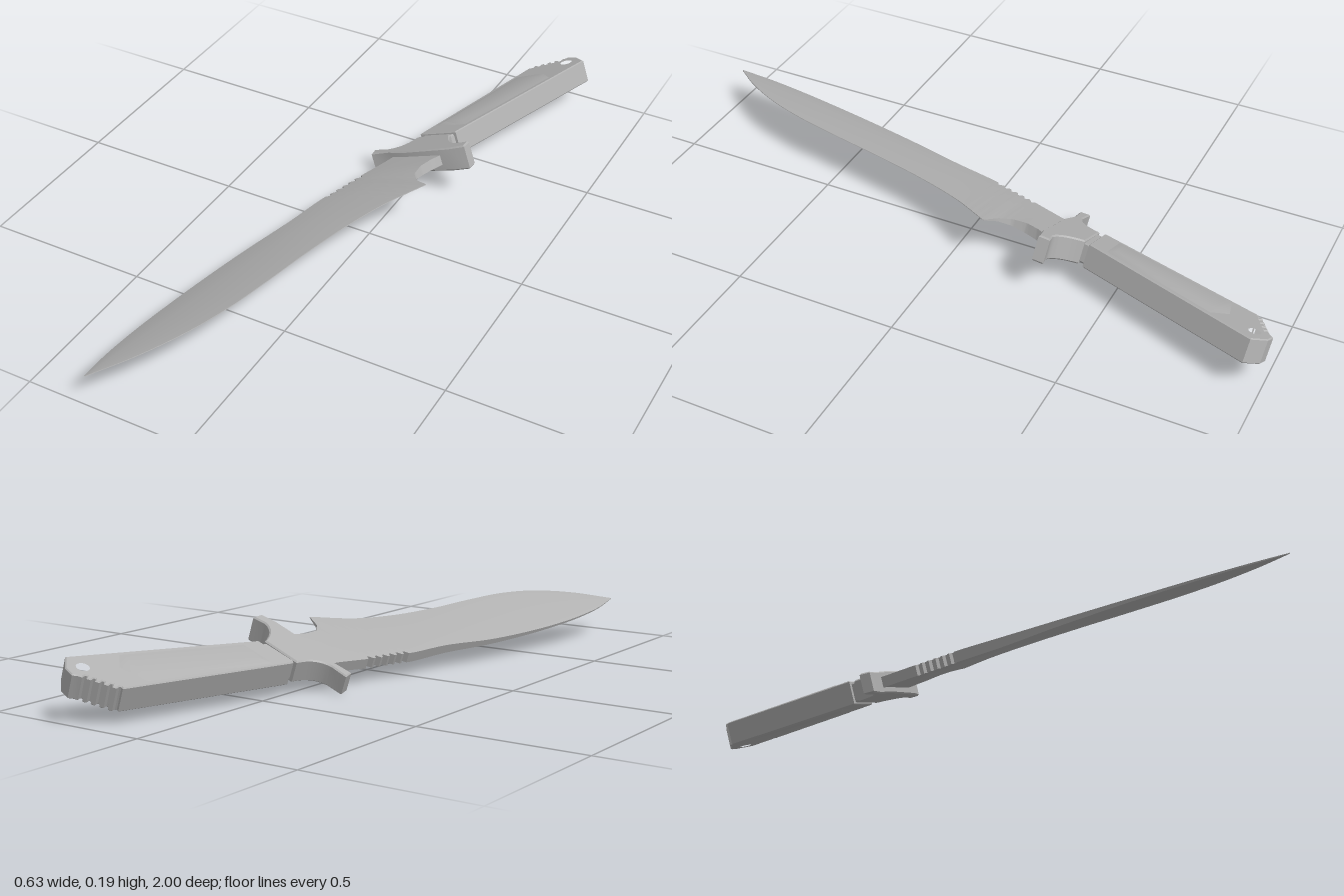
import * as THREE from 'three';
import { toCreasedNormals } from 'three/addons/utils/BufferGeometryUtils.js';

// The knife rests tilted: plan coordinates (x, z) lie on the plane y = 0.12 + 0.4x + 0.11z.
const down = new THREE.Vector3(0.4, -1, 0.11).normalize();
const tilt = new THREE.Matrix4().makeBasis(
  new THREE.Vector3(1, 0.4, 0), new THREE.Vector3(0, 0.11, 1), down).setPosition(0, 0.12, 0);

const steel = new THREE.MeshStandardMaterial({ color: 0xb0b0b0 });
steel.name = 'grey steel';

function part(name, geometry) {
  geometry.applyMatrix4(tilt);
  const mesh = new THREE.Mesh(toCreasedNormals(geometry, 0.45), steel);
  mesh.name = name;
  return mesh;
}

// Slab of the given half thickness, with a bevel kept inside its outline
function slab(shape, half, bevel = 0.004, bevelHeight = bevel) {
  const g = new THREE.ExtrudeGeometry(shape, {
    depth: 2 * (half - bevelHeight), bevelEnabled: true, bevelSegments: 1, curveSegments: 12,
    bevelSize: bevel, bevelOffset: -bevel, bevelThickness: bevelHeight,
  });
  return g.translate(0, 0, bevelHeight - half);
}

const polygon = (pts) => new THREE.Shape(pts.map(([x, z]) => new THREE.Vector2(x, z)));

function bladeGeometry() {
  // z, spine x, edge x, half thickness at spine, middle and edge
  const rows = [
    [-0.30, -0.062, 0.110, 0.016, 0.017, 0.016],
    [-0.25, -0.076, 0.082, 0.016, 0.017, 0.016],
    [-0.21, -0.090, 0.068, 0.016, 0.017, 0.015],
    [-0.165, -0.106, 0.068, 0.016, 0.017, 0.010],
    [-0.13, -0.118, 0.090, 0.016, 0.016, 0.005],
    [-0.105, -0.126, 0.135, 0.016, 0.016, 0.001],
    [-0.05, -0.142, 0.100, 0.016, 0.016, 0.001],
    [0.00, -0.157, 0.070, 0.016, 0.016, 0.001],
    [0.14, -0.185, 0.016, 0.014, 0.016, 0.001],
    [0.32, -0.236, -0.028, 0.009, 0.015, 0.001],
    [0.49, -0.272, -0.058, 0.006, 0.014, 0.001],
    [0.64, -0.296, -0.090, 0.004, 0.013, 0.001],
    [0.77, -0.310, -0.138, 0.003, 0.011, 0.001],
    [0.90, -0.314, -0.217, 0.002, 0.007, 0.001],
    [1.00, -0.306, -0.304, 0.001, 0.001, 0.001],
  ];
  const zs = rows.map((r) => r[0]);
  const values = rows.flatMap((r) => r.slice(1));
  const straight = new THREE.LinearInterpolant(zs, values, 5);
  const curved = new THREE.CubicInterpolant(zs, values, 5);
  const steps = 208, pos = [], index = [];
  for (let i = 0; i <= steps; i++) {
    const z = -0.3 + 1.3 * i / steps;
    let [xl, xr, ts, tm, te] = (z < 0 ? straight : curved).evaluate(z);
    // Saw teeth along the back of the blade
    if (i >= 24 && i < 48 && i % 4 < 2) xl += 0.011;
    ts = Math.max(ts, 0.0008);
    te = Math.max(te, 0.0008);
    const xm = xl + (xr - xl) * 0.4;
    pos.push(xl, z, ts, xm, z, tm, xr, z, te, xr, z, -te, xm, z, -tm, xl, z, -ts);
    if (i === steps) continue;
    for (let j = 0; j < 6; j++) {
      const a = i * 6 + j, b = i * 6 + (j + 1) % 6;
      index.push(a, b, b + 6, a, b + 6, a + 6);
    }
  }
  const g = new THREE.BufferGeometry();
  g.setAttribute('position', new THREE.Float32BufferAttribute(pos, 3));
  g.setIndex(index);
  g.computeVertexNormals();
  return g;
}

function guardGeometry() {
  const s = new THREE.Shape();
  s.moveTo(-0.142, -0.318);
  s.lineTo(-0.138, -0.287);
  s.lineTo(-0.08, -0.292);
  s.lineTo(-0.03, -0.28);
  s.lineTo(0.13, -0.28);
  s.lineTo(0.18, -0.29);
  s.lineTo(0.18, -0.325);
  s.lineTo(0.145, -0.318);
  s.quadraticCurveTo(0.105, -0.325, 0.085, -0.393);
  s.lineTo(-0.028, -0.393);
  s.quadraticCurveTo(-0.04, -0.325, -0.09, -0.315);
  s.closePath();
  const g = slab(s, 0.035);
  // The guard grows thicker towards its front end
  const p = g.attributes.position;
  for (let i = 0; i < p.count; i++) p.setZ(i, p.getZ(i) * (1 + 0.7 * p.getX(i)));
  g.computeVertexNormals();
  return g;
}

function handleGeometry() {
  const pts = [[-0.026, -0.41], [0.095, -0.41], [0.299, -0.952], [0.262, -0.99], [0.232, -0.996]];
  // Grip notches across the slanted pommel
  const from = [0.222, -0.985], to = [0.124, -0.932], teeth = 5;
  for (let i = 0; i < teeth; i++) {
    for (const [f, dip] of [[0, 0], [0.5, 0], [0.68, 0.011], [0.9, 0.011]]) {
      const t = (i + f) / teeth;
      pts.push([from[0] + (to[0] - from[0]) * t + dip * 0.5, from[1] + (to[1] - from[1]) * t + dip]);
    }
  }
  pts.push([0.124, -0.925]);
  const shape = polygon(pts);
  const hole = new THREE.Path();
  hole.absarc(0.242, -0.947, 0.021, 0, Math.PI * 2, true);
  shape.holes.push(hole);
  return slab(shape, 0.037, 0.003);
}

export function createModel() {
  const knife = new THREE.Group();
  knife.name = 'knife';
  knife.add(part('blade', bladeGeometry()));
  knife.add(part('guard', guardGeometry()));
  knife.add(part('neck', slab(
    polygon([[-0.02, -0.385], [0.08, -0.385], [0.09, -0.42], [-0.012, -0.42]]), 0.03)));
  knife.add(part('handle', handleGeometry()));
  // Shallow swelling on both faces of the grip
  knife.add(part('gripSwell', slab(
    polygon([[-0.008, -0.46], [0.107, -0.46], [0.243, -0.82], [0.198, -0.87], [0.108, -0.85]]),
    0.043, 0.03, 0.008)));
  return knife;
}
